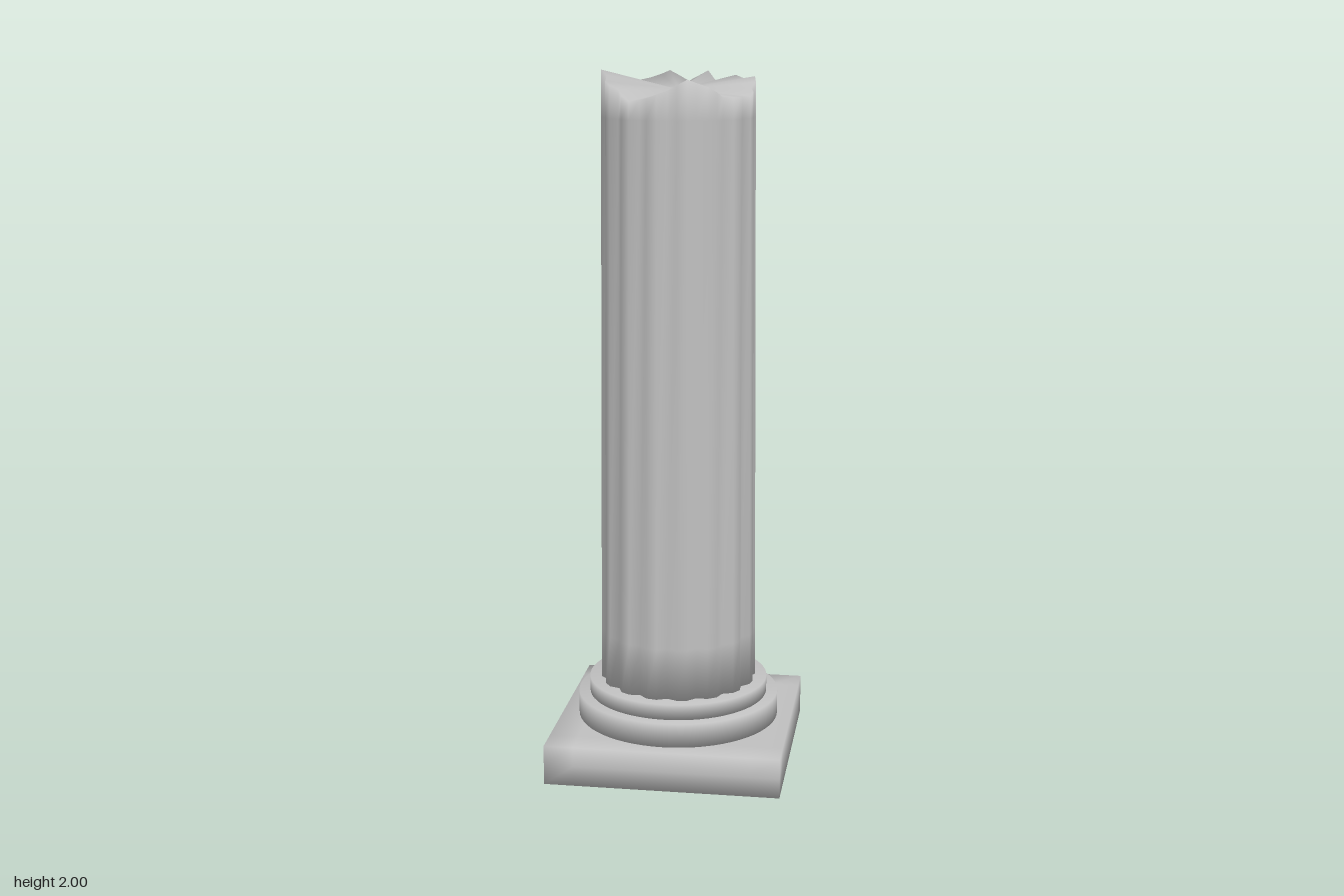
import * as THREE from 'three';
import { mergeVertices } from 'three/addons/utils/BufferGeometryUtils.js';

const stone = new THREE.MeshStandardMaterial({ color: 0xc0c0c0 });
stone.name = 'grey stone';

// Weld all corners so the shading rolls softly over every edge
function soften(geometry) {
  geometry.deleteAttribute('uv');
  geometry.deleteAttribute('normal');
  const welded = mergeVertices(geometry, 1e-4);
  welded.computeVertexNormals();
  return welded;
}

function part(name, geometry, y = 0) {
  const mesh = new THREE.Mesh(soften(geometry), stone);
  mesh.name = name;
  mesh.position.y = y;
  return mesh;
}

// Broken rim heights, one every 15 degrees, from the front towards the left
const rim = [1.95, 1.98, 1.96, 1.93, 1.93, 1.93, 1.95, 1.98, 1.96, 1.98, 1.94, 1.99,
  1.96, 1.99, 1.97, 1.96, 1.97, 1.98, 1.99, 2.0, 1.97, 1.95, 1.92, 1.93];

function rimHeight(step) {
  const i = Math.floor(step / 2);
  const a = rim[i % 24], b = rim[(i + 1) % 24];
  return step % 2 ? (a + b) / 2 : a;
}

// Sixteen flutes: each has one groove point and a flat ridge of two points
function shaftGeometry() {
  const sides = 48;
  const rows = [0.23, 0.38, 1.87];
  const geometry = new THREE.CylinderGeometry(1, 1, 3, sides, 3);
  const pos = geometry.attributes.position;
  for (let i = 0; i < pos.count; i++) {
    const x = pos.getX(i), z = pos.getZ(i);
    const row = Math.round(pos.getY(i) + 1.5);
    const centre = Math.hypot(x, z) < 0.5;
    const step = (Math.round(Math.atan2(x, z) / (2 * Math.PI) * sides) + sides) % sides;
    const y = row < 3 ? rows[row] : centre ? 1.945 : rimHeight(step);
    const t = (y - 0.23) / 1.77;
    const radius = step % 3 === 0
      ? THREE.MathUtils.lerp(0.213, 0.203, t)
      : THREE.MathUtils.lerp(0.228, 0.215, t);
    pos.setXYZ(i, x * radius, y, z * radius);
  }
  return geometry;
}

export function createModel() {
  const column = new THREE.Group();
  column.name = 'brokenColumn';
  column.add(
    part('plinth', new THREE.BoxGeometry(0.675, 0.115, 0.675, 8, 2, 8), 0.0575),
    part('lowerBaseRing', new THREE.CylinderGeometry(0.295, 0.295, 0.07, 64), 0.15),
    part('upperBaseRing', new THREE.CylinderGeometry(0.262, 0.262, 0.045, 64), 0.2075),
    part('flutedShaft', shaftGeometry()),
  );
  return column;
}
